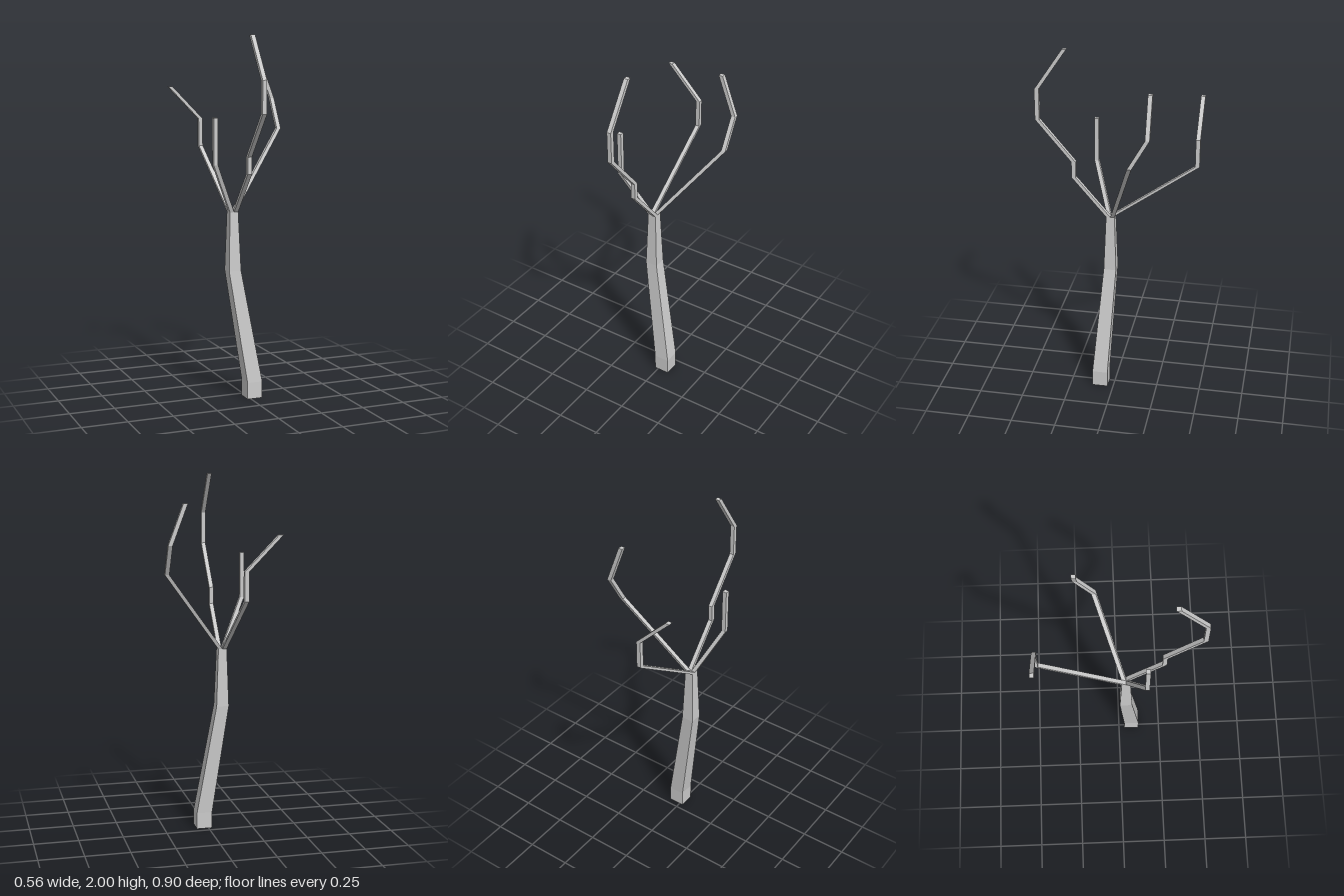
import * as THREE from 'three';

const material = new THREE.MeshStandardMaterial({ color: 0xcccccc, flatShading: true });

// Square limb whose level cross-sections follow rings of [x, y, z, width]
function limb(name, rings) {
  const last = rings.length - 1;
  const geometry = new THREE.BoxGeometry(1, 1, 1, 1, last, 1);
  const pos = geometry.attributes.position;
  for (let i = 0; i < pos.count; i++) {
    const [x, y, z, width] = rings[Math.round((pos.getY(i) + 0.5) * last)];
    pos.setXYZ(i, x + pos.getX(i) * width, y, z + pos.getZ(i) * width);
  }
  const flat = geometry.toNonIndexed();
  flat.computeVertexNormals();
  const mesh = new THREE.Mesh(flat, material);
  mesh.name = name;
  return mesh;
}

export function createModel() {
  const tree = new THREE.Group();
  tree.name = 'bareTree';

  // Leaning, tapered trunk
  tree.add(limb('trunk', [
    [0.024, 0, 0.077, 0.088],
    [0.024, 0.093, 0.077, 0.088],
    [-0.074, 0.72, 0.037, 0.07],
    [-0.075, 1.045, 0.036, 0.048],
  ]));

  // Four branches, one from each quarter of the trunk top
  const width = 0.024;
  const branches = {
    frontBranch: [
      [-0.063, 1.045, 0.048], [-0.063, 1.27, 0.241], [-0.063, 1.362, 0.241],
      [-0.063, 1.596, 0.438], [-0.063, 1.77, 0.438], [-0.063, 2, 0.282],
    ],
    backBranch: [
      [-0.087, 1.045, 0.024], [-0.087, 1.375, -0.438],
      [-0.087, 1.53, -0.438], [-0.268, 1.715, -0.438],
    ],
    leftBranch: [
      [-0.063, 1.045, 0.024], [0.266, 1.485, -0.123],
      [0.266, 1.65, -0.217], [0.184, 1.867, -0.217],
    ],
    rightBranch: [
      [-0.087, 1.045, 0.048], [-0.216, 1.315, 0.141], [-0.216, 1.567, 0.141],
    ],
  };
  for (const [name, points] of Object.entries(branches)) {
    tree.add(limb(name, points.map((p) => [...p, width])));
  }
  return tree;
}
